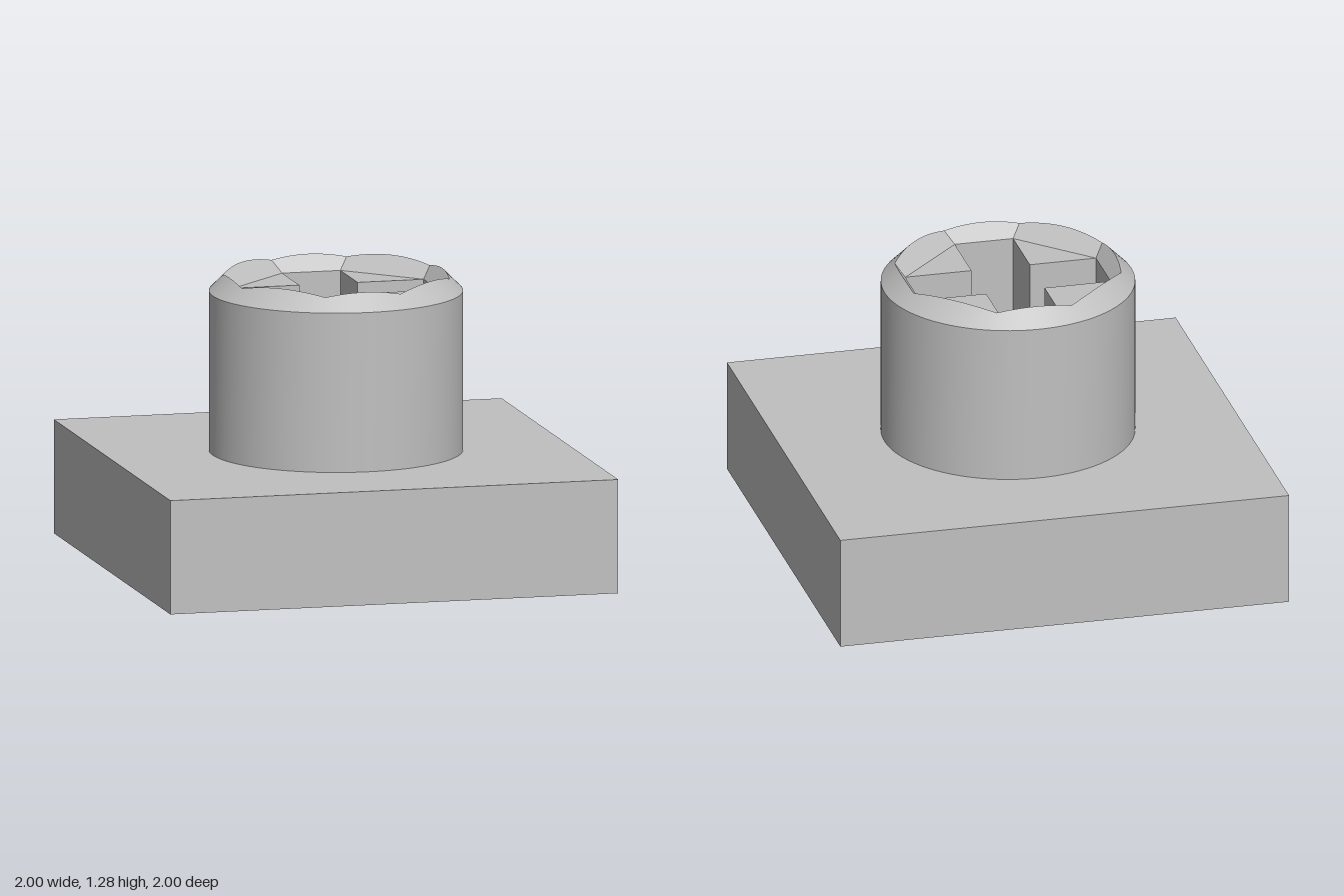
import * as THREE from 'three';

const BASE_TOP = 0.5, SHELF = 1.205, WALL_TOP = 1.2, RADIUS = 0.55;
const HALF = 0.13, REACH = 0.425; // cross arm half width and reach
const STEPS = 12;                 // segments along each lead-in facet

// Band between two closed rings, facing outward when the first ring is lower
function loft(a, b, flat) {
  const n = a.length, index = [];
  for (let i = 0; i < n; i++) {
    const j = (i + 1) % n;
    index.push(i, n + i, j, j, n + i, n + j);
  }
  let g = new THREE.BufferGeometry().setFromPoints([...a, ...b]);
  g.setIndex(index);
  if (flat) g = g.toNonIndexed();
  g.computeVertexNormals();
  return g;
}

const polar = (angle, r, y) => new THREE.Vector3(Math.cos(angle) * r, y, Math.sin(angle) * r);

// Repeat a list of [x, z] points over four quarter turns
function quarters(points, y) {
  const out = [];
  for (let k = 0; k < 4; k++) {
    for (const [x, z] of points) {
      out.push(new THREE.Vector3(x, y, z).applyAxisAngle(new THREE.Vector3(0, 1, 0), -k * Math.PI / 2));
    }
  }
  return out;
}

// Radius at which the sloped lead-in facets meet the outer 45 degree chamfer
function rimRadius(angle) {
  const c = Math.abs(Math.cos(angle)), s = Math.abs(Math.sin(angle));
  const rise = WALL_TOP + RADIUS - SHELF;
  const straight = (rise + Math.SQRT2 * REACH) / (1 + Math.SQRT2 * Math.max(c, s));
  const diagonal = (rise + (REACH + HALF) / Math.SQRT2) / (1 + (c + s) / Math.SQRT2);
  return Math.min(straight, diagonal);
}

export function createModel() {
  const group = new THREE.Group();
  const grey = new THREE.MeshStandardMaterial({ color: 0xc0c0c0 });
  grey.name = 'grey';
  const add = (name, geometry) => {
    const mesh = new THREE.Mesh(geometry, grey);
    mesh.name = name;
    group.add(mesh);
    return mesh;
  };

  // Square base; its top is also the socket floor
  add('base', new THREE.BoxGeometry(2, BASE_TOP, 2)).position.y = BASE_TOP / 2;

  // Rings of the post, sampled facet by facet so the rim corners stay crisp
  const octagon = quarters([[REACH, -HALF], [REACH, HALF]], SHELF);
  const corner = Math.atan2(HALF + 0.038, REACH + 0.038);
  const foot = [], shoulder = [], rim = [], shelfEdge = [];
  for (let f = 0; f < 8; f++) {
    const quarter = Math.floor(f / 2) * Math.PI / 2;
    const start = quarter + (f % 2 ? corner : -corner);
    const end = quarter + (f % 2 ? Math.PI / 2 - corner : corner);
    for (let i = 0; i < STEPS; i++) {
      const t = i / STEPS, angle = start + (end - start) * t;
      const r = rimRadius(angle);
      foot.push(polar(angle, RADIUS, BASE_TOP));
      shoulder.push(polar(angle, RADIUS, WALL_TOP));
      rim.push(polar(angle, r, WALL_TOP + RADIUS - r));
      shelfEdge.push(octagon[f].clone().lerp(octagon[(f + 1) % 8], t));
    }
  }
  add('postWall', loft(foot, shoulder, false));
  add('outerChamfer', loft(shoulder, rim, false));
  add('socketLeadIn', loft(rim, shelfEdge, true));

  // Flat triangles between the cross arms
  const triangle = new THREE.Shape([
    new THREE.Vector2(HALF, HALF), new THREE.Vector2(REACH, HALF), new THREE.Vector2(HALF, REACH),
  ]);
  for (let k = 0; k < 4; k++) {
    const g = new THREE.ShapeGeometry(triangle).rotateX(-Math.PI / 2).rotateY(k * Math.PI / 2);
    add('socketShelf', g).position.y = SHELF;
  }

  // Cross-shaped socket walls
  const cross = [[REACH, -HALF], [REACH, HALF], [HALF, HALF]];
  add('socketWalls', loft(quarters(cross, SHELF), quarters(cross, BASE_TOP), true));

  return group;
}
